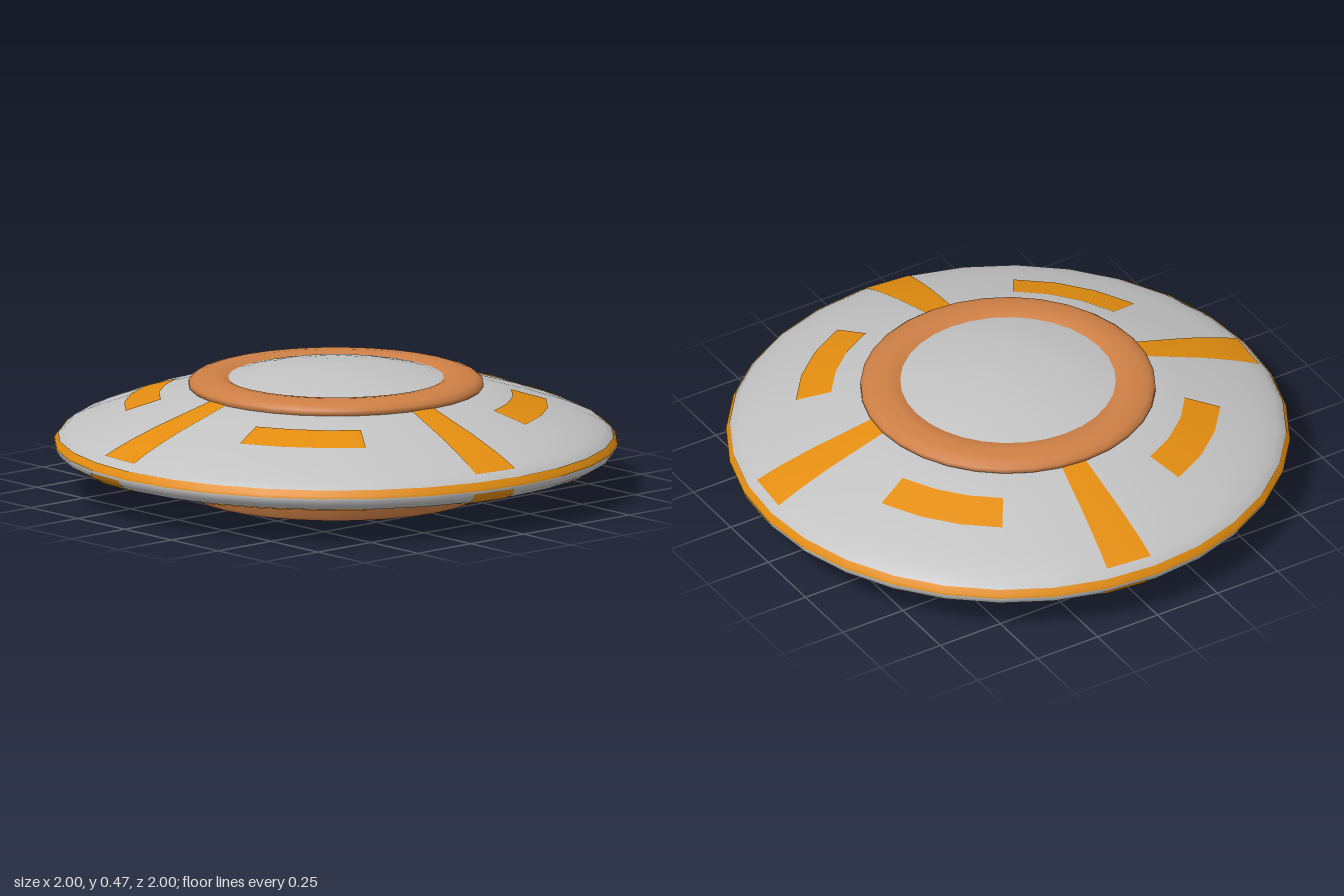
import * as THREE from 'three';

const SIDES = 32;
const DEG = Math.PI / 180;

const mat = (name, color) => {
  const m = new THREE.MeshStandardMaterial({ color });
  m.name = name;
  return m;
};

// Hull profile halves as [radius, height]; each has monotonic radius
const LOWER = [[0, 0.1], [0.62, 0.1], [0.78, 0.105], [0.88, 0.115], [0.95, 0.13], [0.985, 0.15], [0.997, 0.17]];
const UPPER = [[0.997, 0.17], [0.995, 0.185], [0.982, 0.205], [0.955, 0.228], [0.9, 0.253], [0.85, 0.273],
  [0.74, 0.312], [0.62, 0.348], [0.52, 0.378], [0.38, 0.395]];

const vectors = (points) => points.map(([r, y]) => new THREE.Vector2(r, y));

// Part of a profile between two radii
function clip(profile, rMin, rMax) {
  const out = [];
  for (let i = 0; i < profile.length - 1; i++) {
    const [r0, y0] = profile[i], [r1, y1] = profile[i + 1];
    if (Math.max(r0, r1) <= rMin || Math.min(r0, r1) >= rMax) continue;
    for (const r of [r0, r1]) {
      const c = Math.min(rMax, Math.max(rMin, r));
      const y = y0 + (y1 - y0) * (c - r0) / (r1 - r0);
      const last = out[out.length - 1];
      if (!last || Math.hypot(last[0] - c, last[1] - y) > 1e-6) out.push([c, y]);
    }
  }
  return out;
}

// Shift a profile outwards so paint sits just above the hull
function offset(points, d) {
  return points.map(([r, y], i) => {
    const a = points[Math.max(0, i - 1)], b = points[Math.min(points.length - 1, i + 1)];
    const dr = b[0] - a[0], dy = b[1] - a[1], len = Math.hypot(dr, dy);
    return [r + dy / len * d, y - dr / len * d];
  });
}

export function createModel() {
  const group = new THREE.Group();
  const grey = mat('hull grey', 0xc2c2c2);
  const orange = mat('paint orange', 0xe38d10);
  const copper = mat('copper', 0xcd7f45);
  orange.side = THREE.DoubleSide;

  const add = (name, geometry, material) => {
    const mesh = new THREE.Mesh(geometry, material);
    mesh.name = name;
    group.add(mesh);
  };
  const lathe = (name, points, material) =>
    add(name, new THREE.LatheGeometry(vectors(points), SIDES), material);

  // Painted patch that follows the flat sides of the hull
  const patch = (name, points, from, to) => {
    const geo = new THREE.LatheGeometry(vectors(offset(points, 0.003)),
      Math.ceil((to - from) / 1.4), from * DEG, (to - from) * DEG);
    const p = geo.attributes.position, step = 2 * Math.PI / SIDES;
    for (let i = 0; i < p.count; i++) {
      const a = Math.atan2(p.getX(i), p.getZ(i)) + 2 * Math.PI;
      const k = Math.cos(step / 2) / Math.cos((a % step) - step / 2);
      p.setX(i, p.getX(i) * k);
      p.setZ(i, p.getZ(i) * k);
    }
    add(name, geo, orange);
  };

  // Saucer body
  lathe('hull', [...LOWER, ...UPPER.slice(1)], grey);
  lathe('rimBand', offset(clip(UPPER, 0.982, 0.996), 0.003), orange);

  // Radial stripes and curved dashes, repeated each quarter turn
  for (let q = 0; q < 4; q++) {
    const a = q * 90;
    patch('upperStripe', clip(UPPER, 0.5, 0.955), a - 10.4, a);
    patch('upperDash', clip(UPPER, 0.625, 0.75), a - 68.5, a - 33.5);
    patch('lowerStripe', clip(LOWER, 0.68, 0.997), a - 12.2, a - 2.2);
    patch('lowerDash', clip(LOWER, 0.82, 0.945), a - 71, a - 35);
  }

  // Copper collar and shallow dome on top
  lathe('topCollar', [[0.51, 0.37], [0.523, 0.383], [0.522, 0.398], [0.505, 0.412], [0.475, 0.421],
    [0.43, 0.424], [0.4, 0.421], [0.375, 0.41]], copper);
  lathe('dome', [[0.385, 0.412], [0.34, 0.424], [0.26, 0.441], [0.18, 0.453], [0.09, 0.462], [0, 0.465]], grey);

  // Rounded plate and flared copper skirt underneath
  lathe('basePlate', [[0.5, 0.074], [0.59, 0.073], [0.615, 0.076], [0.629, 0.086], [0.627, 0.096], [0.61, 0.105]], grey);
  lathe('baseSkirt', [[0.37, 0.105], [0.385, 0.075], [0.42, 0.04], [0.465, 0.012], [0.5, 0.001], [0.52, 0],
    [0.53, 0.012], [0.548, 0.05], [0.56, 0.085]], copper);

  return group;
}
